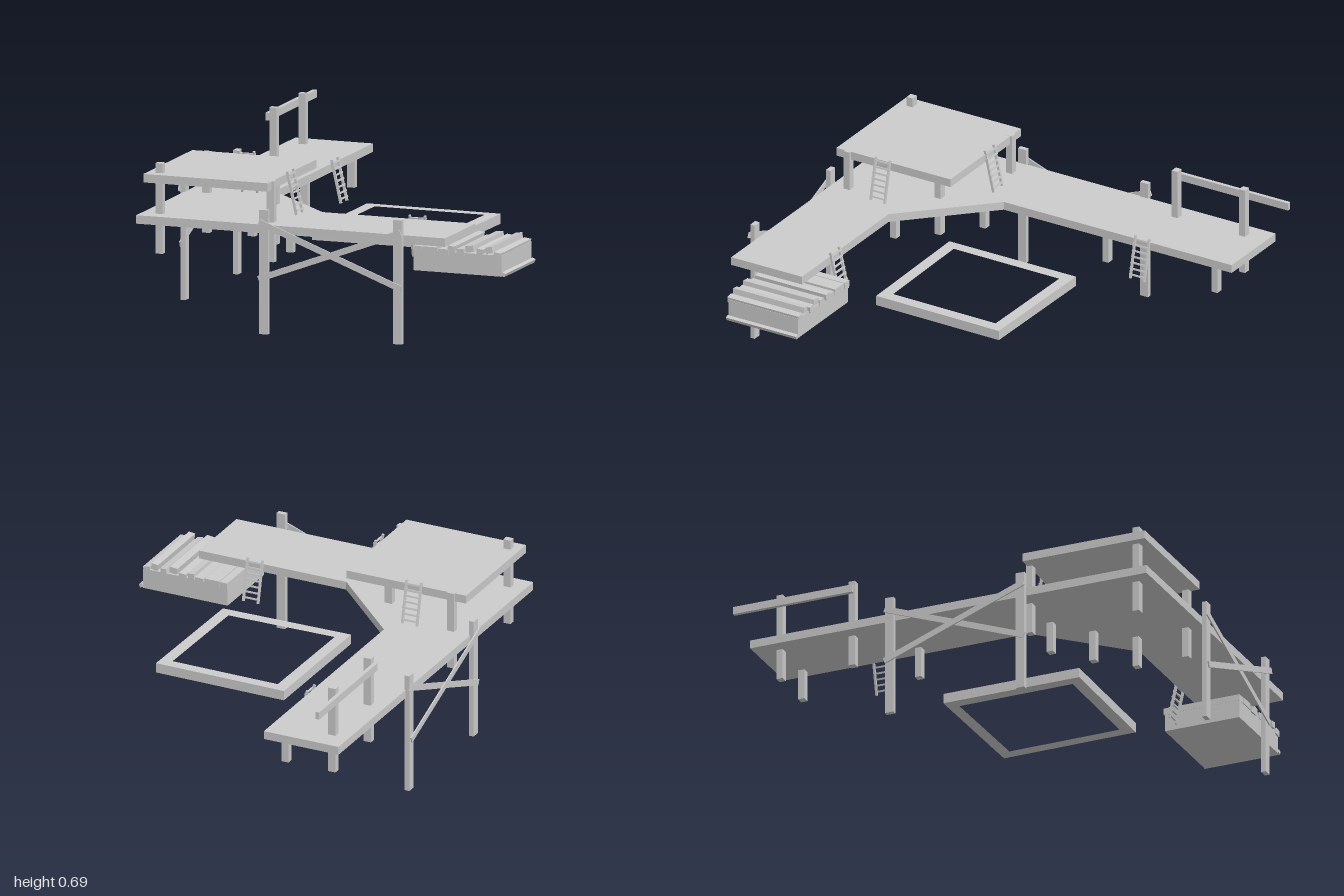
import * as THREE from 'three';

const mat = new THREE.MeshStandardMaterial({ color: 0xcccccc, flatShading: true });

function add(parent, name, geo, x = 0, y = 0, z = 0) {
  const m = new THREE.Mesh(geo, mat);
  m.name = name;
  m.position.set(x, y, z);
  parent.add(m);
  return m;
}
const box = (w, h, d) => new THREE.BoxGeometry(w, h, d);

// Flat slab from an x/z outline, standing on its own y = 0
function slab(points, height, hole) {
  const flip = (list) => list.map(([x, z]) => new THREE.Vector2(x, -z));
  const shape = new THREE.Shape(flip(points));
  if (hole) shape.holes.push(new THREE.Path(flip(hole)));
  return new THREE.ExtrudeGeometry(shape, { depth: height, bevelEnabled: false }).rotateX(-Math.PI / 2);
}

// Two tall posts joined by crossed boards, facing local +z
function crossBracedStand(name) {
  const g = new THREE.Group();
  g.name = name;
  for (const s of [-1, 1]) {
    add(g, 'standPost', box(0.04, 0.543, 0.022), s * 0.308, 0.2715, -0.011);
    const board = add(g, 'crossBoard', box(0.7, 0.027, 0.006), 0, 0.366, s < 0 ? 0.003 : 0.009);
    board.rotation.z = s * Math.atan2(0.245, 0.65);
  }
  return g;
}

// Leaning ladder with its foot toward local +z
function ladder(name, x, y, z, turn) {
  const g = new THREE.Group();
  g.name = name;
  const lean = new THREE.Group();
  const length = 0.192;
  for (const s of [-1, 1]) add(lean, 'ladderRail', box(0.009, length, 0.011), s * 0.035, length / 2, 0);
  for (let i = 0; i < 7; i++) add(lean, 'rung', box(0.08, 0.007, 0.008), 0, 0.018 + i * 0.0265, 0.004);
  lean.rotation.x = -0.225;
  g.add(lean);
  g.position.set(x, y, z);
  g.rotation.y = turn;
  return g;
}

export function createModel() {
  const model = new THREE.Group();
  model.name = 'woodenWalkway';

  // Main L-shaped deck and raised platform
  add(model, 'deck', slab([
    [-0.815, -0.9], [-0.457, -0.9], [-0.457, 0.25], [-0.097, 0.608],
    [0.608, 0.608], [0.608, 0.965], [-0.815, 0.965],
  ], 0.037), 0, 0.437, 0);
  add(model, 'upperPlatform', box(0.573, 0.037, 0.575), -0.5035, 0.634, 0.658);

  // Short posts: x, z, top
  const posts = [
    [-0.735, -0.79, 0.695], [-0.735, -0.45, 0.695], [-0.735, 0.887, 0.695],
    [-0.72, 0.377, 0.653], [-0.222, 0.887, 0.653], [-0.355, 0.51, 0.62],
    [-0.51, 0.38, 0.44], [-0.225, 0.655, 0.44],
    [-0.51, -0.24, 0.44], [-0.51, -0.79, 0.44],
  ];
  for (const [x, z, top] of posts) {
    add(model, 'shortPost', box(0.034, top - 0.3, 0.03), x, (top + 0.3) / 2, z);
  }
  add(model, 'handRail', box(0.018, 0.034, 0.56), -0.763, 0.653, -0.72);

  // Slightly crooked square timber frame
  add(model, 'squareFrame', slab(
    [[-0.23, -0.255], [0.387, -0.248], [0.378, 0.376], [-0.232, 0.385]], 0.044,
    [[-0.175, -0.204], [0.332, -0.198], [0.325, 0.323], [-0.18, 0.331]],
  ), 0, 0.302, 0);

  // Cross-braced stands on the front and outer sides
  const front = crossBracedStand('frontStand');
  front.position.set(0.088, 0, 0.988);
  const side = crossBracedStand('sideStand');
  side.position.set(-0.833, 0, 0.07);
  side.rotation.y = -Math.PI / 2;
  model.add(front, side);

  // Ladders
  model.add(
    ladder('armLadder', -0.414, 0.303, -0.45, Math.PI / 2),
    ladder('rearLadder', 0.34, 0.303, 0.566, Math.PI),
    ladder('platformSideLadder', -0.165, 0.48, 0.705, Math.PI / 2),
    ladder('platformRearLadder', -0.54, 0.48, 0.331, Math.PI),
  );

  // Plank pile: solid crate body with uneven slats across the top
  const pile = new THREE.Group();
  pile.name = 'plankPile';
  add(pile, 'pileBody', box(0.405, 0.092, 0.35), 0.6185, 0.346, 0.671);
  add(pile, 'endLip', box(0.016, 0.016, 0.355), 0.83, 0.31, 0.671).rotation.z = -0.4;
  // Slats: x, width, top, tilt
  const slats = [
    [0.433, 0.036, 0.408, 0], [0.49, 0.07, 0.408, 0], [0.555, 0.045, 0.403, 0.03],
    [0.588, 0.03, 0.418, -0.1], [0.632, 0.034, 0.408, 0.08], [0.676, 0.036, 0.426, 0.12],
    [0.72, 0.028, 0.414, -0.15], [0.765, 0.03, 0.426, 0.15], [0.803, 0.032, 0.405, -0.15],
  ];
  slats.forEach(([x, w, top, tilt], i) => {
    const m = add(pile, 'slat', box(w, 0.028, 0.358), x, top - 0.014, 0.671 + (i % 3 - 1) * 0.003);
    m.rotation.z = tilt;
  });
  model.add(pile);

  return model;
}
